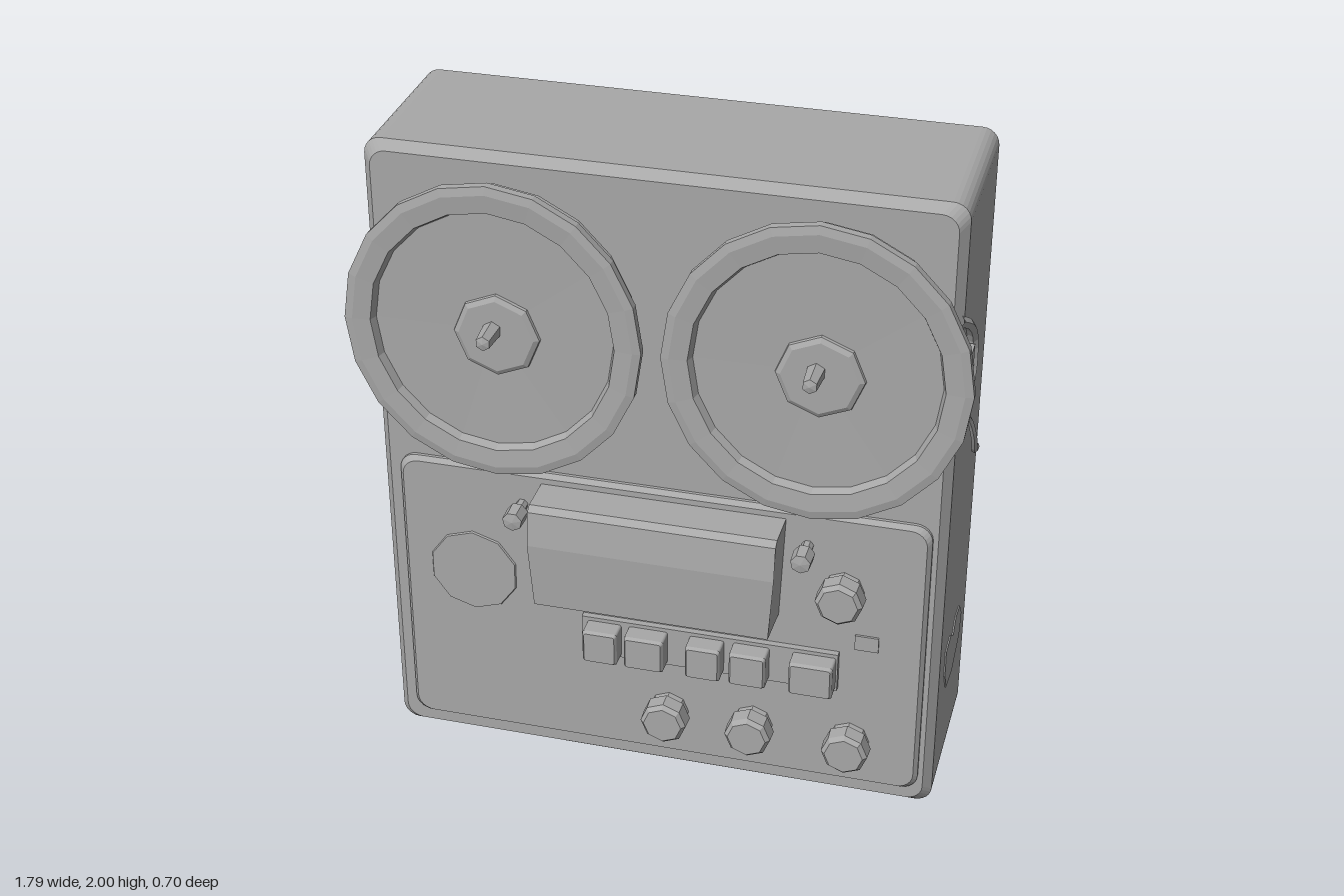
import * as THREE from 'three';

export function createModel() {
  const root = new THREE.Group();
  const grey = new THREE.MeshStandardMaterial({ color: 0xa8a8a8, flatShading: true });
  grey.name = 'plain grey';

  const add = (name, geo, x = 0, y = 0, z = 0, parent = root) => {
    const m = new THREE.Mesh(geo, grey);
    m.name = name;
    m.position.set(x, y, z);
    parent.add(m);
    return m;
  };

  // Rounded rectangle outline centred on the origin
  const roundedRect = (w, h, r) => {
    const s = new THREE.Shape();
    const x = w / 2 - r, y = h / 2 - r;
    s.absarc(x, y, r, 0, Math.PI / 2);
    s.absarc(-x, y, r, Math.PI / 2, Math.PI);
    s.absarc(-x, -y, r, Math.PI, Math.PI * 1.5);
    s.absarc(x, -y, r, Math.PI * 1.5, Math.PI * 2);
    return s;
  };

  // Slab with a bevel on its front edge only
  const slab = (w, h, r, back, front, bevel, inset) => {
    const geo = new THREE.ExtrudeGeometry(roundedRect(w, h, r),
      { depth: 1, steps: 2, bevelEnabled: false, curveSegments: 3 });
    const p = geo.attributes.position;
    for (let i = 0; i < p.count; i++) {
      const t = p.getZ(i);
      if (t > 0.9) {
        p.setX(i, p.getX(i) * (1 - 2 * inset / w));
        p.setY(i, p.getY(i) * (1 - 2 * inset / h));
      }
      p.setZ(i, t < 0.1 ? back : t > 0.9 ? front : front - bevel);
    }
    geo.computeVertexNormals();
    return geo;
  };

  // Turned part whose axis points forward; profile is [radius, z]
  const turned = (profile, sides) => new THREE.LatheGeometry(
    profile.map(([r, z]) => new THREE.Vector2(r, z)), sides).rotateX(Math.PI / 2);

  // Cabinet and control panel
  add('cabinet', slab(1.69, 2, 0.05, -0.35, 0.175, 0.03, 0.025), -0.015, 1, 0);
  add('controlPanel', slab(1.59, 0.94, 0.05, 0.16, 0.2, 0.015, 0.012), -0.005, 0.54, 0);

  // Tape reels
  for (const [side, x] of [['right', -0.466], ['left', 0.455]]) {
    const reel = new THREE.Group();
    reel.name = side + 'Reel';
    reel.position.set(x, 1.5, 0);
    add('flanges', turned([[0, 0.17], [0.4, 0.18], [0.425, 0.195], [0.425, 0.215], [0.4, 0.22],
      [0.4, 0.25], [0.455, 0.255], [0.455, 0.28], [0.43, 0.285], [0.375, 0.28], [0.365, 0.255],
      [0, 0.25]], 20).scale(0.952, 1, 1), 0, 0, 0, reel);
    add('hub', turned([[0.13, 0.24], [0.125, 0.26], [0.11, 0.268], [0, 0.268]], 8), 0.01, -0.01, 0, reel);
    add('spindle', turned([[0.028, 0.26], [0.022, 0.35], [0, 0.355]], 6), 0, 0.01, 0, reel);
    root.add(reel);
  }

  // Meter housing with a sloped upper face
  const profile = new THREE.Shape([[-0.19, 0.645], [-0.345, 0.655], [-0.35, 0.86], [-0.335, 0.965],
    [-0.315, 0.98], [-0.19, 0.98]].map(([a, b]) => new THREE.Vector2(a, b)));
  const meter = new THREE.ExtrudeGeometry(profile, { depth: 0.73, bevelEnabled: false });
  const mp = meter.attributes.position;
  for (let i = 0; i < mp.count; i++) {
    const taper = mp.getY(i) < 0.7 ? 0.96 : 1;
    mp.setZ(i, (mp.getZ(i) - 0.365) * taper);
  }
  meter.rotateY(Math.PI / 2).computeVertexNormals();
  // The profile's -x now lies along +z
  add('meterHousing', meter, 0.005, 0, 0);

  // Transport keys on their strip
  add('keyStrip', new THREE.BoxGeometry(0.78, 0.13, 0.04), 0.15, 0.48, 0.2);
  for (const [x, w] of [[-0.17, 0.105], [-0.035, 0.12], [0.145, 0.105], [0.28, 0.11], [0.47, 0.13]]) {
    add('transportKey', slab(w, 0.11, 0.008, 0.2, 0.282, 0.01, 0.006), x, 0.478, 0);
  }

  // Rotary knobs
  const knob = [[0.062, 0.19], [0.058, 0.225], [0.072, 0.23], [0.07, 0.275], [0.058, 0.288], [0, 0.288]];
  for (const [x, y] of [[0.025, 0.235], [0.285, 0.235], [0.58, 0.23], [0.545, 0.765]]) {
    add('knob', turned(knob, 8), x, y, 0);
  }

  // Small tape guides beside the meter housing
  for (const x of [-0.42, 0.435]) {
    add('tapeGuide', turned([[0.018, 0.19], [0.018, 0.24], [0.032, 0.245], [0.03, 0.3], [0, 0.305]], 7), x, 0.9, 0);
  }

  // Flat details on the panel
  add('roundPlate', turned([[0.14, 0.197], [0.135, 0.205], [0, 0.205]], 10), -0.58, 0.64, 0);
  add('smallPlate', new THREE.BoxGeometry(0.07, 0.05, 0.01), 0.62, 0.59, 0.202);

  // Hooked arm on the side of the cabinet
  const tube = (name, pts, r) => add(name, new THREE.TubeGeometry(new THREE.CatmullRomCurve3(
    pts.map(([x, y, z]) => new THREE.Vector3(x, y, z))), 12, r, 5));
  tube('armLoop', [[0.82, 1.66, 0.16], [0.84, 1.62, 0.1], [0.845, 1.54, 0.05],
    [0.845, 1.43, 0.075], [0.83, 1.4, 0.15]], 0.016);
  tube('armTail', [[0.83, 1.38, 0.16], [0.855, 1.33, 0.1], [0.868, 1.24, 0.05],
    [0.865, 1.17, 0], [0.86, 1.13, -0.09]], 0.009);
  add('armPivot', new THREE.BoxGeometry(0.03, 0.1, 0.07), 0.84, 1.5, 0.11);

  // Notched plate on the side of the cabinet
  const plate = new THREE.Shape([[-0.05, 0.49], [0.03, 0.495], [0.085, 0.46], [0.125, 0.5],
    [0.2, 0.49], [0.25, 0.43], [0.23, 0.36], [0.11, 0.31], [0, 0.325], [-0.045, 0.4]]
    .map(([a, b]) => new THREE.Vector2(a, b)));
  add('sidePlate', new THREE.ExtrudeGeometry(plate, { depth: 0.006, bevelEnabled: false })
    .rotateY(Math.PI / 2), 0.828, 0, 0);

  return root;
}
